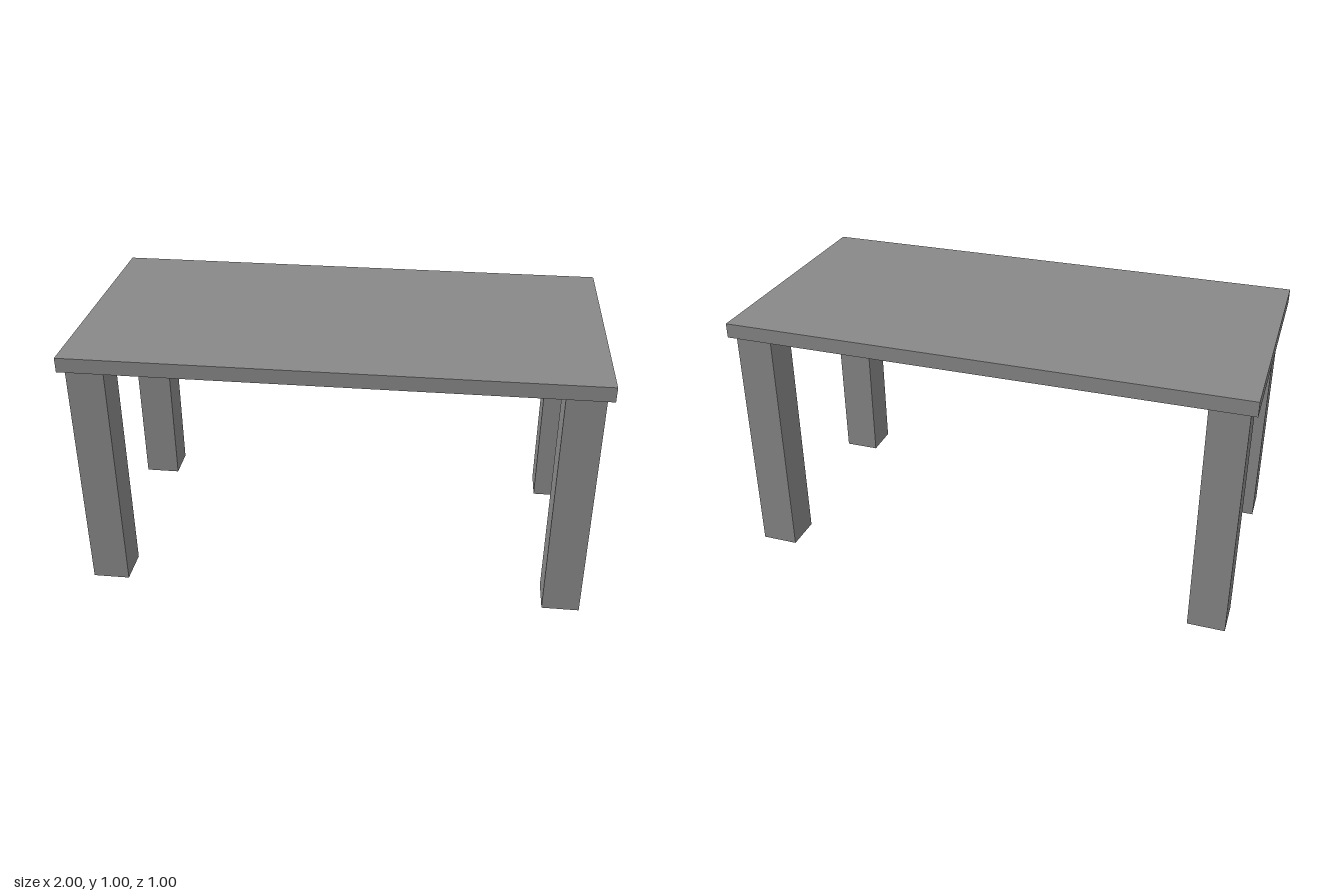
import * as THREE from 'three';

const HEIGHT = 1;
const TOP_THICKNESS = 0.057;
const LEG_WIDTH = 0.144;
const LEG_HEIGHT = HEIGHT - TOP_THICKNESS;

export function createModel() {
  const table = new THREE.Group();
  table.name = 'table';
  const material = new THREE.MeshStandardMaterial({ color: 0x888888, flatShading: true });

  // Flat rectangular top
  const top = new THREE.Mesh(new THREE.BoxGeometry(2, TOP_THICKNESS, 1), material);
  top.name = 'tableTop';
  top.position.y = HEIGHT - TOP_THICKNESS / 2;
  table.add(top);

  // Four square legs, slightly inset from the corners
  const legGeometry = new THREE.BoxGeometry(LEG_WIDTH, LEG_HEIGHT, LEG_WIDTH);
  for (const [sideName, x] of [['Left', 1], ['Right', -1]]) {
    for (const [endName, z] of [['front', 1], ['back', -1]]) {
      const leg = new THREE.Mesh(legGeometry, material);
      leg.name = `${endName}${sideName}Leg`;
      leg.position.set(x * 0.904, LEG_HEIGHT / 2, z * 0.405);
      table.add(leg);
    }
  }

  return table;
}
